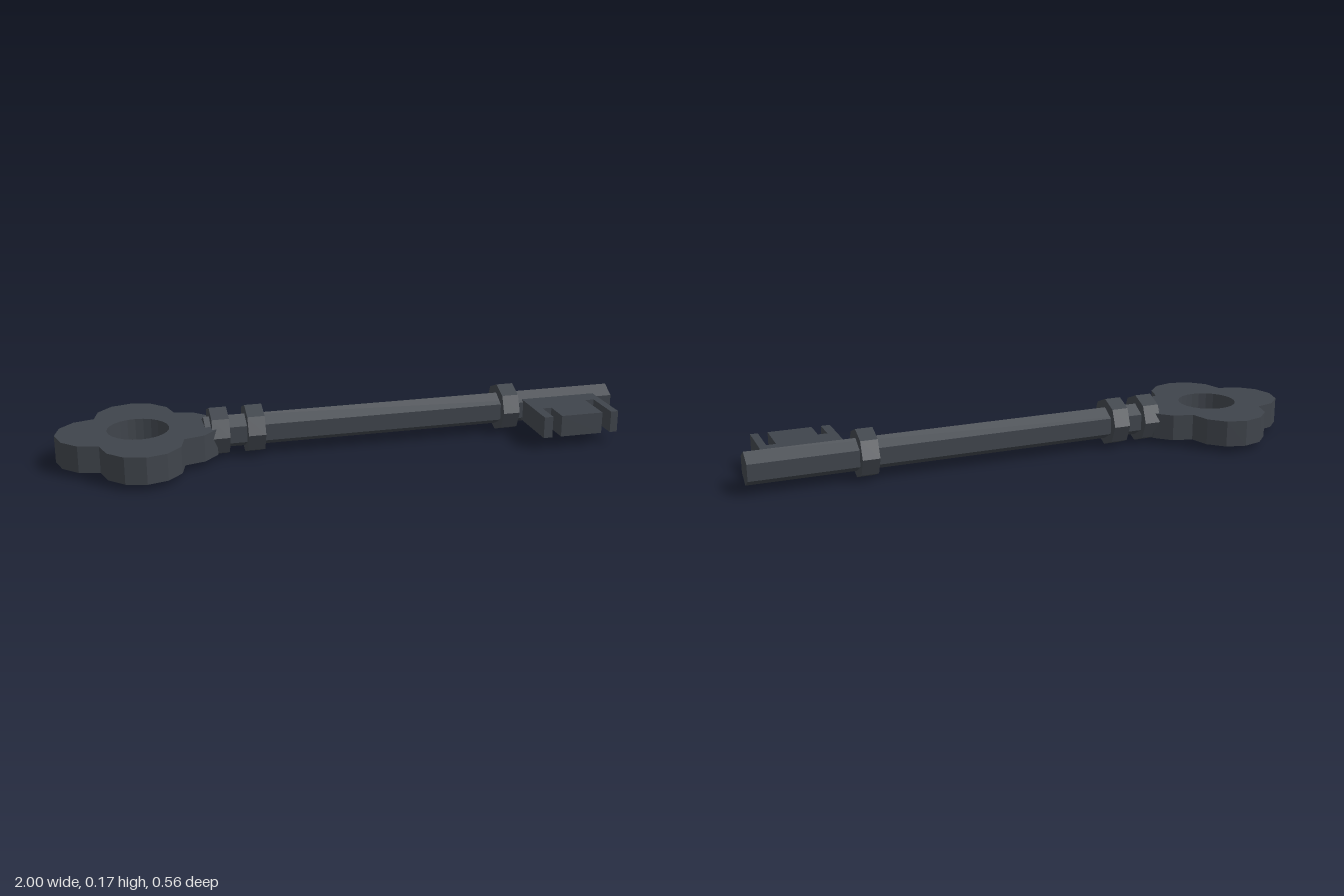
import * as THREE from 'three';

export function createModel() {
  const key = new THREE.Group();
  key.name = 'key';
  const iron = new THREE.MeshStandardMaterial({ color: 0x3f444b });
  iron.name = 'dark iron';
  iron.flatShading = true;

  const add = (name, geometry, x, y) => {
    const mesh = new THREE.Mesh(geometry, iron);
    mesh.name = name;
    mesh.position.set(x, y, 0);
    key.add(mesh);
  };

  // Faceted rod lying along x, with one corner pointing up
  const rod = (name, x0, x1, radius, sides, y) => {
    const g = new THREE.CylinderGeometry(radius, radius, x1 - x0, sides, 1, false, Math.PI / 2);
    add(name, g.rotateZ(Math.PI / 2), (x0 + x1) / 2, y);
  };

  // Flat plate: shape drawn in x and z, thickness running down from the top
  const plate = (name, shape, x, bottom, top) => {
    const g = new THREE.ExtrudeGeometry(shape, { depth: top - bottom, bevelEnabled: false, curveSegments: 12 });
    add(name, g.rotateX(Math.PI / 2), x, top);
  };

  // Four-lobed bow: a half circle in six steps on each side of a square
  const lobe = 0.139;
  const outline = [];
  for (let i = 0; i < 4; i++) {
    const dir = i * Math.PI / 2;
    for (let j = 0; j < 6; j++) {
      const a = dir - Math.PI / 2 + j * Math.PI / 6;
      outline.push(new THREE.Vector2(
        lobe * (Math.cos(dir) + Math.cos(a)),
        lobe * (Math.sin(dir) + Math.sin(a))));
    }
  }
  const bow = new THREE.Shape(outline);
  bow.holes.push(new THREE.Path().absarc(0, 0, 0.105, 0, Math.PI * 2, true));
  plate('bow', bow, -0.722, 0.022, 0.115);

  // Shaft and its three collars
  rod('shaft', -0.5, 1, 0.058, 6, 0.081);
  for (const x of [-0.45, -0.327, 0.599]) rod('collar', x - 0.03, x + 0.03, 0.085, 8, 0.085);

  // Bit with two slots cut in from its outer edge
  const end = 0.245;
  const bit = new THREE.Shape([
    [0.655, 0], [0.933, 0], [0.933, end], [0.906, end], [0.906, 0.104], [0.873, 0.104],
    [0.873, end], [0.72, end], [0.72, 0.152], [0.687, 0.152], [0.687, end], [0.655, end],
  ].map(([x, z]) => new THREE.Vector2(x, z)));
  plate('bit', bit, 0, 0.042, 0.118);

  return key;
}
